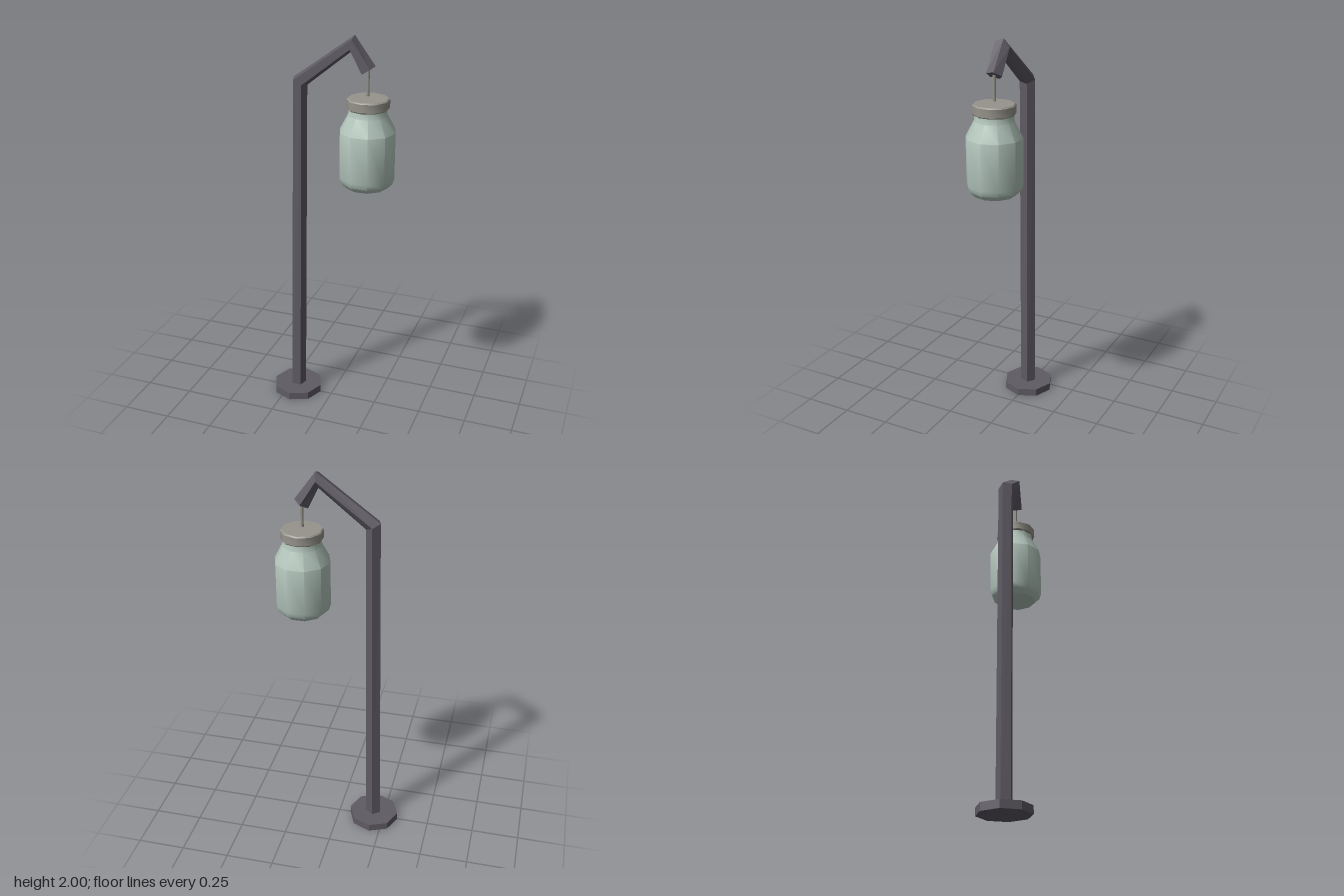
import * as THREE from 'three';
import { toCreasedNormals } from 'three/addons/utils/BufferGeometryUtils.js';

const iron = new THREE.MeshStandardMaterial({ color: 0x5f5b64, flatShading: true });
iron.name = 'darkIron';
const tin = new THREE.MeshStandardMaterial({ color: 0x96948b });
tin.name = 'lidMetal';
const glass = new THREE.MeshStandardMaterial({ color: 0xb5c8be });
glass.name = 'paleGlass';

const JAR_X = 0.186;

function addMesh(group, name, geometry, material, x = 0, y = 0) {
  const mesh = new THREE.Mesh(geometry, material);
  mesh.name = name;
  mesh.position.set(x, y, 0);
  group.add(mesh);
  return mesh;
}

// Sweep a five-sided section along a bent path in the xy plane
function sweptPole(path, radius, sides) {
  const pts = path.map(p => new THREE.Vector2(...p));
  const dirs = pts.slice(1).map((p, i) => p.clone().sub(pts[i]).normalize());
  const rings = pts.map((p, i) => {
    const t = dirs[Math.max(i - 1, 0)].clone().add(dirs[Math.min(i, dirs.length - 1)]).normalize();
    return Array.from({ length: sides }, (_, j) => {
      const a = (j / sides) * Math.PI * 2;
      const s = Math.sin(a) * radius;
      return [p.x - t.y * s, p.y + t.x * s, -Math.cos(a) * radius];
    });
  });
  const pos = [];
  const tri = (...corners) => corners.forEach(c => pos.push(...c));
  const last = rings.length - 1;
  for (let j = 0; j < sides; j++) {
    const k = (j + 1) % sides;
    for (let i = 0; i < last; i++) {
      const [a, b, c, d] = [rings[i][j], rings[i][k], rings[i + 1][k], rings[i + 1][j]];
      tri(a, b, c);
      tri(a, c, d);
    }
    tri([pts[0].x, pts[0].y, 0], rings[0][k], rings[0][j]);
    tri([pts[last].x, pts[last].y, 0], rings[last][j], rings[last][k]);
  }
  const geo = new THREE.BufferGeometry();
  geo.setAttribute('position', new THREE.Float32BufferAttribute(pos, 3));
  geo.computeVertexNormals();
  return geo;
}

// Ten-sided turned shape, smooth around and sharp at the rims
function turned(profile, phiStart) {
  const geo = new THREE.LatheGeometry(profile.map(p => new THREE.Vector2(...p)), 10, phiStart);
  return toCreasedNormals(geo, 0.7);
}

export function createModel() {
  const model = new THREE.Group();
  model.name = 'hangingJarLamp';

  // Octagonal foot
  addMesh(model, 'foot', new THREE.CylinderGeometry(0.133, 0.133, 0.04, 8), iron, -0.196, 0.02);

  // Post with bent arm and drooping tip
  addMesh(model, 'post', sweptPole(
    [[-0.194, 0.02], [-0.163, 1.757], [0.106, 1.961], [0.183, 1.838]], 0.041, 5), iron);

  // Hanging rod
  addMesh(model, 'rod', new THREE.CylinderGeometry(0.008, 0.008, 0.13, 8), tin, 0.184, 1.782);

  // Jar and lid
  const jar = new THREE.Group();
  jar.name = 'jar';
  jar.position.x = JAR_X;
  model.add(jar);
  addMesh(jar, 'jarGlass', turned([
    [0, 1.26], [0.104, 1.26], [0.13, 1.285], [0.14, 1.315], [0.14, 1.545],
    [0.098, 1.625], [0.095, 1.66], [0, 1.665],
  ], Math.PI / 2), glass);
  addMesh(jar, 'lid', turned([
    [0, 1.655], [0.1, 1.655], [0.105, 1.66], [0.105, 1.701], [0.099, 1.707], [0, 1.707],
  ], 0), tin);

  return model;
}
